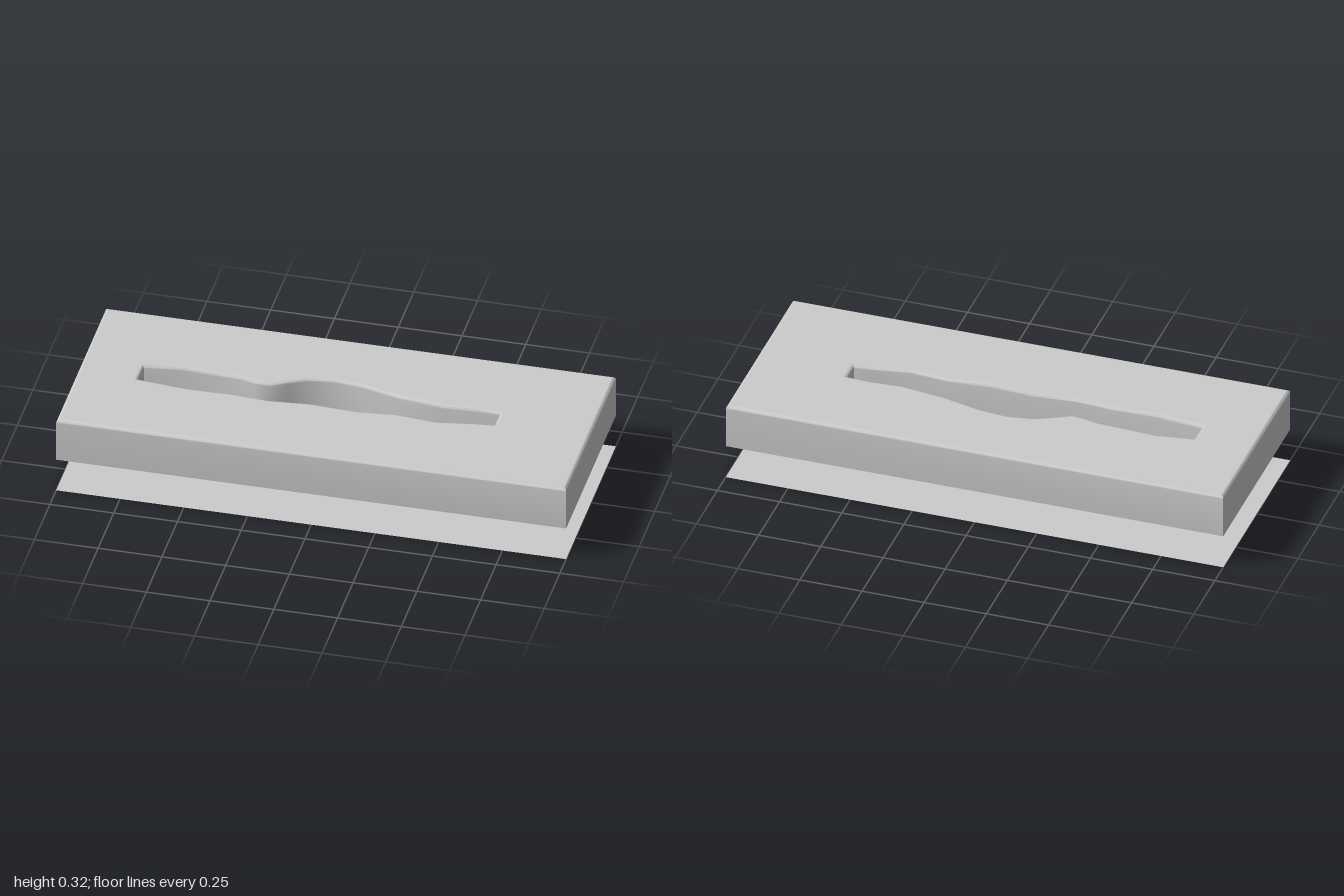
import * as THREE from 'three';
import { toCreasedNormals } from 'three/addons/utils/BufferGeometryUtils.js';

const TOP = 0.32, BASE = 0.14, R = 0.012;

// Loops of [x, z] pairs, running along the back edge and returning along the front.
const rectangle = [[-1, -0.4], [1, -0.4], [1, 0.4], [-1, 0.4]];
const slot = [
  [-0.765, -0.045], [-0.62, -0.065], [-0.38, -0.053], [-0.33, -0.04], [-0.27, -0.035], [-0.21, -0.067],
  [-0.14, -0.103], [-0.04, -0.118], [0.07, -0.108], [0.23, -0.068], [0.41, -0.045], [0.54, -0.053], [0.63, -0.048],
  [0.63, 0.03], [0.54, 0.04], [0.41, 0.062], [0.25, 0.048], [0.1, 0.065], [-0.08, 0.055],
  [-0.25, 0.07], [-0.4, 0.06], [-0.57, 0.065], [-0.765, 0.045],
];
const raggedSlot = [
  [-0.76, 0], [-0.73, -0.045], [-0.635, -0.05], [-0.6, -0.025], [-0.57, -0.045], [-0.385, -0.035], [-0.32, -0.005],
  [-0.29, -0.02], [-0.235, -0.025], [-0.2, -0.06], [-0.155, -0.06], [-0.13, -0.08], [-0.085, -0.07], [-0.055, -0.09],
  [0, -0.085], [0.03, -0.09], [0.07, -0.06], [0.11, -0.02], [0.14, -0.055], [0.175, -0.065], [0.24, -0.03],
  [0.3, -0.045], [0.38, -0.03], [0.485, -0.035], [0.605, -0.045], [0.625, -0.025], [0.625, 0.02], [0.57, 0.03],
  [0.415, 0.055], [0.35, 0.05], [0.2, 0.025], [0.1, 0.055], [0.05, 0.04], [-0.05, 0.05], [-0.08, 0.03],
  [-0.11, 0.05], [-0.25, 0.065], [-0.34, 0.035], [-0.42, 0.055], [-0.5, 0.045], [-0.57, 0.06], [-0.635, 0.03],
  [-0.715, 0.035], [-0.755, 0.02],
];

// Grow (or shrink) a loop by d, mitring its corners.
function offset(loop, d) {
  const n = loop.length;
  const normal = (a, b) => new THREE.Vector2(b[1] - a[1], a[0] - b[0]).normalize();
  return loop.map((p, i) => {
    const n1 = normal(loop[(i + n - 1) % n], p), n2 = normal(p, loop[(i + 1) % n]);
    const k = d / (1 + n1.dot(n2));
    return [p[0] + (n1.x + n2.x) * k, p[1] + (n1.y + n2.y) * k];
  });
}

// Wall through stacked rings, each given as [height, offset].
function wall(loop, rings, inward) {
  const n = loop.length, pos = [], idx = [];
  rings.forEach(([y, d], r) => {
    offset(loop, d).forEach(([x, z]) => pos.push(x, y, z));
    if (r === 0) return;
    for (let i = 0; i < n; i++) {
      const j = (i + 1) % n, a = (r - 1) * n + i, b = (r - 1) * n + j, c = r * n + i, e = r * n + j;
      if (inward) idx.push(a, c, b, b, c, e);
      else idx.push(a, b, c, b, e, c);
    }
  });
  const g = new THREE.BufferGeometry();
  g.setAttribute('position', new THREE.Float32BufferAttribute(pos, 3));
  g.setIndex(idx);
  return toCreasedNormals(g, 0.8);
}

// Flat horizontal sheet with a hole.
function sheet(outer, hole, y) {
  const points = (loop) => loop.map(([x, z]) => new THREE.Vector2(x, -z));
  const shape = new THREE.Shape(points(outer));
  shape.holes.push(new THREE.Path(points(hole)));
  return new THREE.ShapeGeometry(shape).rotateX(-Math.PI / 2).translate(0, y, 0);
}

// Quarter-round edge profile followed by a straight drop to the base.
function edgeRings(sign, taper) {
  const rings = [];
  for (let i = 0; i <= 4; i++) {
    const t = (i / 4) * Math.PI / 2;
    rings.push([TOP - R * (1 - Math.cos(t)), sign * R * (1 - Math.sin(t))]);
  }
  rings.push([BASE, taper]);
  return rings;
}

export function createModel() {
  const model = new THREE.Group();
  const material = new THREE.MeshStandardMaterial({ color: 0xcccccc, side: THREE.DoubleSide });
  const add = (parent, name, geometry) => {
    const mesh = new THREE.Mesh(geometry, material);
    mesh.name = name;
    parent.add(mesh);
  };

  // Hollow cover, open underneath
  const cover = new THREE.Group();
  cover.name = 'cover';
  model.add(cover);
  add(cover, 'coverTop', sheet(offset(rectangle, -R), offset(slot, R), TOP));
  add(cover, 'coverSides', wall(rectangle, edgeRings(-1, 0), false));
  add(cover, 'slotWall', wall(slot, edgeRings(1, -0.004), true));

  // Thin ground sheet with a ragged opening
  add(model, 'groundSheet', sheet(rectangle, raggedSlot, 0));
  return model;
}
